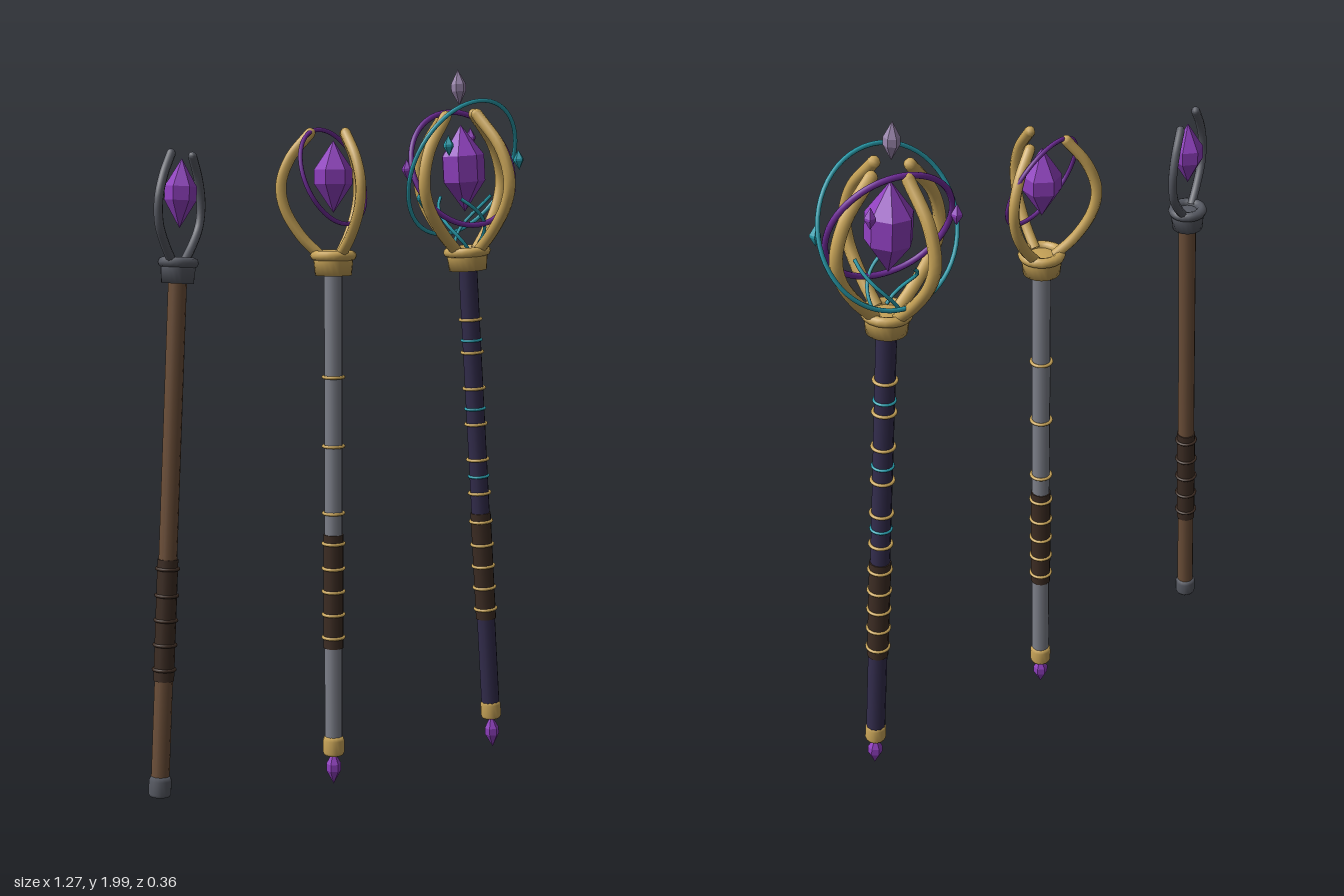
import * as THREE from 'three';

const mat = (name, color) => Object.assign(new THREE.MeshStandardMaterial({ color }), { name });
const UP = new THREE.Vector3(0, 1, 0);

export function createModel() {
  const M = {
    wood: mat('wood brown', 0x6b4e38),
    iron: mat('iron grey', 0x565962),
    steel: mat('steel grey', 0x7d808a),
    leather: mat('dark leather', 0x3c2c23),
    indigo: mat('dark indigo', 0x322c4c),
    gold: mat('gold', 0xc8a458),
    crystal: mat('crystal purple', 0x8f3fbe),
    ring: mat('ring purple', 0x6f2c98),
    teal: mat('teal', 0x2aa0b0),
    lilac: mat('pale lilac', 0x9a86ac),
  };

  const add = (parent, name, geometry, material, y = 0) => {
    const mesh = new THREE.Mesh(geometry, material);
    mesh.name = name;
    mesh.position.y = y;
    parent.add(mesh);
    return mesh;
  };

  const lathe = (pts, sides = 16) =>
    new THREE.LatheGeometry(pts.map(([r, y]) => new THREE.Vector2(r, y)), sides);

  // Faceted gem: two points joined by a short belt
  const gem = (r, h, sides = 6, belt = 0.2) => {
    const g = lathe([[0, -h], [r, -belt * h], [r, belt * h], [0, h]], sides).toNonIndexed();
    g.computeVertexNormals();
    return g;
  };

  const hoop = (parent, name, r, tube, material, y, normal = UP) => {
    const mesh = add(parent, name, new THREE.TorusGeometry(r, tube, 8, r > 0.1 ? 56 : 20), material, y);
    mesh.quaternion.setFromUnitVectors(new THREE.Vector3(0, 0, 1), normal.clone().normalize());
    return mesh;
  };

  // Curved prongs around the head, from [radius, height] points
  const prongs = (parent, count, startDeg, pts, tube, material) => {
    const curve = new THREE.CatmullRomCurve3(pts.map(([r, y]) => new THREE.Vector3(r, y, 0)));
    const tip = pts[pts.length - 1];
    for (let i = 0; i < count; i++) {
      const prong = new THREE.Group();
      prong.name = 'prong';
      prong.rotation.y = THREE.MathUtils.degToRad(startDeg + (i * 360) / count);
      add(prong, 'prongArm', new THREE.TubeGeometry(curve, 24, tube, 8), material);
      add(prong, 'prongTip', new THREE.SphereGeometry(tube, 8, 6), material, tip[1]).position.x = tip[0];
      parent.add(prong);
    }
  };

  // Shaft, grip, end cap and collar shared by every staff
  const makeStaff = (name, x, z, leanX, leanZ, o) => {
    const staff = new THREE.Group();
    staff.name = name;
    staff.position.set(x, 0, z);
    staff.quaternion.setFromUnitVectors(UP, new THREE.Vector3(leanX, 1, leanZ).normalize());
    add(staff, 'shaft', new THREE.CylinderGeometry(o.r, o.r, 1.34, 12), o.shaft, 0.78);
    add(staff, 'grip', new THREE.CylinderGeometry(o.r + 0.003, o.r + 0.003, 0.32, 12), M.leather, 0.56);
    add(staff, 'endCap', lathe([[0, 0.093], [0.027, 0.093], [0.03, 0.1], [0.03, 0.135], [0.025, 0.146], [0, 0.146]]), o.metal);
    const c = o.collar;
    add(staff, 'collar', lathe([[0, 1.432], [c * 0.8, 1.432], [c * 0.86, 1.47], [c * 0.86, 1.485], [0, 1.485]], 20), o.metal);
    hoop(staff, 'collarLip', c - 0.013, 0.014, o.metal, 1.485);
    for (const y of [0.43, 0.495, 0.56, 0.625, 0.695])
      hoop(staff, 'gripBand', o.r + 0.004, 0.0045, o.band, y);
    return staff;
  };

  const model = new THREE.Group();
  model.name = 'staffs';

  // Simple wooden staff with a two-pronged iron head
  const plain = makeStaff('woodenStaff', -0.62, 0.017, 0.067, -0.017,
    { r: 0.024, shaft: M.wood, metal: M.iron, band: M.leather, collar: 0.052 });
  prongs(plain, 2, 30, [[0.03, 1.485], [0.07, 1.525], [0.108, 1.58], [0.115, 1.64], [0.095, 1.7], [0.058, 1.757]], 0.012, M.iron);
  add(plain, 'crystal', gem(0.041, 0.088), M.crystal, 1.66);
  model.add(plain);

  // Steel staff with three gold prongs and one ring
  const middle = makeStaff('steelStaff', -0.045, 0.016, 0, 0,
    { r: 0.025, shaft: M.steel, metal: M.gold, band: M.gold, collar: 0.062 });
  prongs(middle, 3, 24, [[0.035, 1.485], [0.085, 1.535], [0.13, 1.61], [0.14, 1.675], [0.115, 1.745], [0.062, 1.81]], 0.0145, M.gold);
  add(middle, 'crystal', gem(0.052, 0.096), M.crystal, 1.695);
  hoop(middle, 'orbitRing', 0.133, 0.006, M.ring, 1.695, new THREE.Vector3(0.28, 0.35, 0.89));
  for (const y of [0.78, 0.966, 1.156]) hoop(middle, 'shaftBand', 0.028, 0.0045, M.gold, y);
  add(middle, 'endGem', gem(0.021, 0.049), M.crystal, 0.056);
  model.add(middle);

  // Grand staff with four gold prongs, two rings and floating shards
  const grand = makeStaff('grandStaff', 0.547, 0.02, -0.073, -0.01,
    { r: 0.027, shaft: M.indigo, metal: M.gold, band: M.gold, collar: 0.067 });
  prongs(grand, 4, 9, [[0.04, 1.485], [0.1, 1.545], [0.152, 1.62], [0.167, 1.685], [0.14, 1.775], [0.062, 1.868]], 0.0165, M.gold);
  add(grand, 'crystal', gem(0.062, 0.122, 7, 0.3), M.crystal, 1.72);
  hoop(grand, 'innerRing', 0.168, 0.008, M.ring, 1.72, new THREE.Vector3(-0.1, 0.34, 0.93));
  hoop(grand, 'outerRing', 0.203, 0.006, M.teal, 1.72, new THREE.Vector3(0.07, -0.4, 0.91));
  for (const y of [0.78, 0.88, 0.985, 1.09, 1.195, 1.29]) hoop(grand, 'shaftBand', 0.03, 0.0045, M.gold, y);
  for (const y of [0.83, 1.03, 1.23]) hoop(grand, 'tealBand', 0.028, 0.004, M.teal, y);
  add(grand, 'endGem', gem(0.021, 0.05), M.crystal, 0.05);
  add(grand, 'crownGem', gem(0.021, 0.05), M.lilac, 1.945);

  // Thin tendrils rising out of the collar
  for (let k = 0; k < 3; k++) {
    const pts = [];
    for (let i = 0; i <= 8; i++) {
      const t = i / 8, a = k * 2.094 + t * 2.4, r = 0.035 + 0.05 * t;
      pts.push(new THREE.Vector3(Math.cos(a) * r, 1.49 + 0.15 * t, Math.sin(a) * r));
    }
    add(grand, 'tendril', new THREE.TubeGeometry(new THREE.CatmullRomCurve3(pts), 24, 0.005, 6), M.teal);
  }

  // Shards as x, y, z around the head, alternating colours
  const shards = [
    [-0.065, 1.64, -0.11], [0.105, 1.8, -0.08], [0.19, 1.73, 0.027],
    [0.085, 1.65, 0.102], [-0.105, 1.79, 0.068], [-0.172, 1.73, -0.037],
  ];
  shards.forEach(([x, y, z], i) => {
    const shard = add(grand, 'shard', gem(0.015, 0.029, 5, 0.1), i % 2 ? M.crystal : M.teal, y);
    shard.position.set(x, y, z);
  });
  model.add(grand);

  return model;
}
